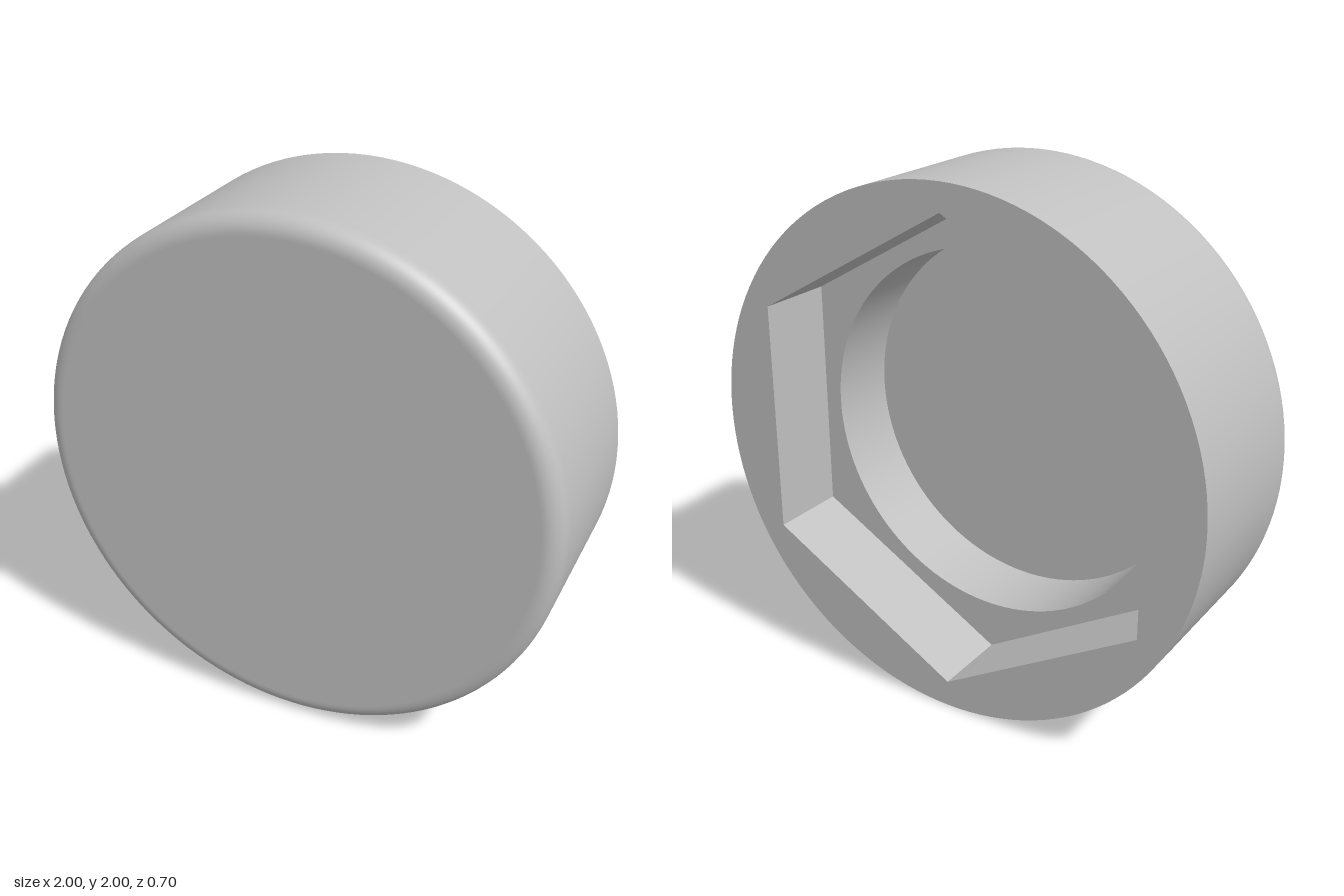
import * as THREE from 'three';

const SEG = 128;
const RADIUS = 1, HALF = 0.352, FILLET = 0.07;
const HEX = 0.897;             // hexagon corner radius
const BORE = 0.708;            // round recess radius
const SHELF_Z = -HALF + 0.305; // bottom of the hexagonal pocket
const FLOOR_Z = SHELF_Z + 0.283;

// Surface of revolution about z; profile points are [radius, z]
function revolve(profile, sides = SEG) {
  const points = profile.map(([r, z]) => new THREE.Vector2(r, z));
  return new THREE.LatheGeometry(points, sides).rotateX(Math.PI / 2);
}

function circlePath(Type, r) {
  return new Type().absarc(0, 0, r, 0, Math.PI * 2);
}

// Hexagon with corners at top and bottom
function hexPath(Type) {
  const points = [];
  for (let i = 0; i < 6; i++) {
    const a = Math.PI / 2 + i * Math.PI / 3;
    points.push(new THREE.Vector2(HEX * Math.cos(a), HEX * Math.sin(a)));
  }
  return new Type(points);
}

// Flat ring facing the back
function backRing(outline, hole, z) {
  outline.holes.push(hole);
  return new THREE.ShapeGeometry(outline, SEG / 2).rotateY(Math.PI).translate(0, 0, z);
}

export function createModel() {
  const model = new THREE.Group();
  model.name = 'roundCap';
  const grey = new THREE.MeshStandardMaterial({ color: 0xc0c0c0 });
  grey.name = 'grey';

  const add = (name, geometry) => {
    const mesh = new THREE.Mesh(geometry, grey);
    mesh.name = name;
    model.add(mesh);
  };

  // Outer wall rolling over a rounded front edge
  const profile = [[RADIUS, -HALF], [RADIUS, HALF - FILLET - 0.004]];
  for (let i = 0; i <= 12; i++) {
    const a = (i / 12) * Math.PI / 2;
    profile.push([RADIUS - FILLET + FILLET * Math.cos(a), HALF - FILLET + FILLET * Math.sin(a)]);
  }
  const faceRadius = RADIUS - FILLET - 0.004;
  profile.push([faceRadius, HALF]);
  add('outerWall', revolve(profile));
  add('frontFace', new THREE.CircleGeometry(faceRadius, SEG).translate(0, 0, HALF));

  // Back rim around the hexagonal pocket
  add('backRim', backRing(circlePath(THREE.Shape, RADIUS), hexPath(THREE.Path), -HALF));
  const hexWall = revolve([[HEX, SHELF_Z], [HEX, -HALF]], 6).toNonIndexed();
  hexWall.computeVertexNormals();
  add('hexPocketWall', hexWall);

  // Shelf and round recess inside the pocket
  add('pocketShelf', backRing(hexPath(THREE.Shape), circlePath(THREE.Path, BORE), SHELF_Z));
  add('recessWall', revolve([[BORE, FLOOR_Z], [BORE, SHELF_Z]]));
  add('recessFloor', new THREE.CircleGeometry(BORE, SEG).rotateY(Math.PI).translate(0, 0, FLOOR_Z));

  // Stand the cap on y = 0
  model.children.forEach((mesh) => mesh.geometry.translate(0, RADIUS, 0));
  return model;
}
